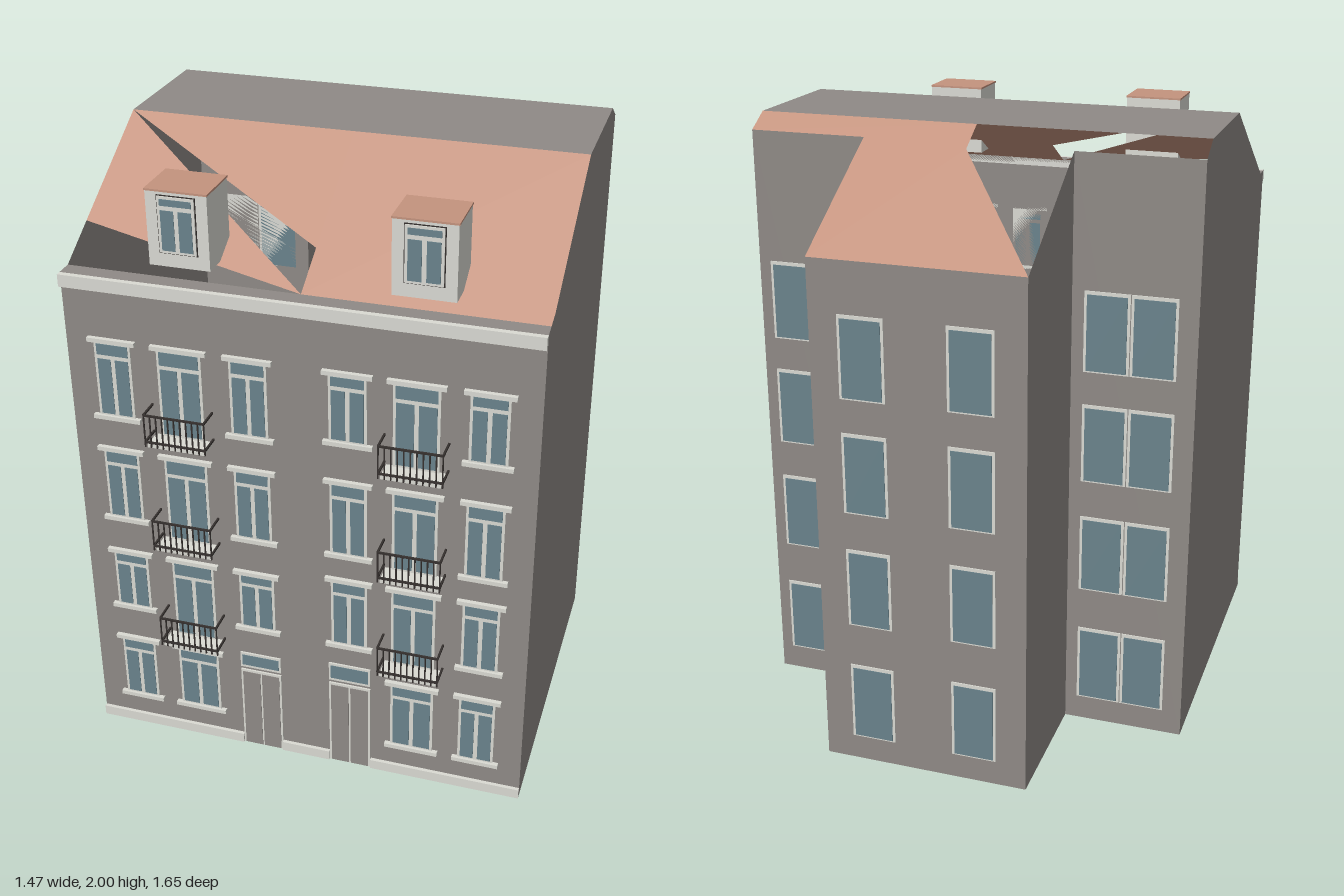
import * as THREE from 'three';

const mat = (name, color, side = THREE.FrontSide) => {
  const m = new THREE.MeshStandardMaterial({ color, side });
  m.name = name;
  return m;
};

export function createModel() {
  const root = new THREE.Group();
  root.name = 'townhouses';
  const wall = mat('wallGrey', 0x8f8a86, THREE.DoubleSide);
  const tile = mat('roofTerracotta', 0xc4937e, THREE.DoubleSide);
  const trim = mat('trimPale', 0xdadad3);
  const glass = mat('glassTeal', 0x6a838c);
  const iron = mat('railingDark', 0x35302e);

  const group = (name, parent = root) => {
    const g = new THREE.Group();
    g.name = name;
    parent.add(g);
    return g;
  };
  // Box given by its limits on each axis
  const box = (parent, name, m, x0, x1, y0, y1, z0, z1) => {
    const mesh = new THREE.Mesh(new THREE.BoxGeometry(x1 - x0, y1 - y0, z1 - z0), m);
    mesh.position.set((x0 + x1) / 2, (y0 + y1) / 2, (z0 + z1) / 2);
    mesh.name = name;
    parent.add(mesh);
  };
  // Flat polygon, fanned from its first corner
  const poly = (parent, name, m, pts) => {
    const v = [];
    for (let i = 1; i < pts.length - 1; i++) v.push(...pts[0], ...pts[i], ...pts[i + 1]);
    const g = new THREE.BufferGeometry();
    g.setAttribute('position', new THREE.Float32BufferAttribute(v, 3));
    g.computeVertexNormals();
    const mesh = new THREE.Mesh(g, m);
    mesh.name = name;
    parent.add(mesh);
  };

  // Main dimensions
  const XL = -0.735, XR = 0.73, WL = -0.335, WR = 0.345;
  const ZF = 0.745, ZB = -0.365, ZW = -0.82, EAVE = 1.69, TOP = 2;
  const Z1 = 0.69, Z2 = 0.157, Z3 = -0.285;
  const yFront = z => EAVE + (Z1 - z) / (Z1 - Z2) * (TOP - EAVE);
  const yBack = z => TOP - (Z3 - z) / (Z3 - ZW) * (TOP - EAVE);
  const f = (x, z) => [x, yFront(z), z];
  const b = (x, z) => [x, yBack(z), z];

  // Walls and floor
  const walls = group('walls');
  const upright = (name, x0, x1, z, h) =>
    poly(walls, name, wall, [[x0, 0, z], [x1, 0, z], [x1, h, z], [x0, h, z]]);
  upright('frontWall', XL, XR, ZF, EAVE);
  upright('backWallRight', XL, WL, ZB, yBack(ZB)) ;
  upright('backWallLeft', WR, XR, ZB, yBack(ZB));
  upright('wingBackWall', WR, WL, ZW, EAVE);
  const side = [[ZB, 0], [ZF, 0], [ZF, EAVE], [Z1, EAVE], [Z2, TOP], [Z3, TOP], [ZB, yBack(ZB)]];
  const wing = [[ZW, 0], [ZB, 0], [ZB, yBack(ZB)], [ZW, EAVE]];
  for (const [x, pts, name] of [[XL, side, 'sideWall'], [XR, side, 'sideWall'], [WL, wing, 'wingSideWall'], [WR, wing, 'wingSideWall']]) {
    const p = pts.map(([z, y]) => [x, y, z]);
    poly(walls, name, wall, x > 0 ? p.reverse() : p);
  }
  const floor = (name, x0, x1, z0, z1) =>
    poly(walls, name, wall, [[x0, 0, z0], [x1, 0, z0], [x1, 0, z1], [x0, 0, z1]]);
  floor('floor', XL, XR, ZB, ZF);
  floor('wingFloor', WL, WR, ZW, ZB);

  // Roof: one half closed, the other with open gaps
  const roof = group('roof');
  const level = (name, x0, x1, y, z0, z1) =>
    poly(roof, name, wall, [[x0, y, z1], [x1, y, z1], [x1, y, z0], [x0, y, z0]]);
  level('eaveLedge', XL, XR, EAVE, Z1, ZF);
  level('flatRoof', XL, 0, TOP, Z3, Z2);
  level('flatRoof', 0, XR, TOP, Z3, Z2);
  poly(roof, 'frontSlope', tile, [f(0, Z1), f(XR, Z1), f(XR, Z2), f(0, Z2)]);
  poly(roof, 'upperFrontPiece', tile, [f(XL, Z2), f(0, 0.545), f(0, Z2)]);
  poly(roof, 'lowerFrontPiece', tile, [f(XL, Z2), f(XL, 0.545), f(0, Z1)]);
  poly(roof, 'backSlope', tile, [b(0, Z3), b(XR, Z3), b(XR, ZB), b(0, ZB)]);
  poly(roof, 'wingSlope', tile, [b(0, -0.385), b(0, ZB), b(WR, ZB), b(WR, ZW), b(WL, ZW)]);

  // Cornice and plinth
  box(root, 'cornice', trim, XL, XR, 1.65, EAVE, ZF, 0.763);
  for (const [a, c] of [[XL, -0.22], [-0.08, 0.085], [0.227, XR]])
    box(root, 'plinth', trim, a, c, 0, 0.035, ZF, 0.757);

  // Front window: pale frame, top light and two casements
  const frontWindow = (parent, x, y0, y1, w, z = ZF) => {
    const h = w / 2, split = y1 - (y1 - y0) * 0.2, e = 0.008;
    box(parent, 'windowFrame', trim, x - h, x + h, y0, y1, z, z + 0.006);
    box(parent, 'topPane', glass, x - h + e, x + h - e, split + 0.007, y1 - e, z, z + 0.008);
    for (const s of [-1, 1]) {
      const c = x + s * (h / 2 - 0.001);
      box(parent, 'casementPane', glass, c - h / 2 + e, c + h / 2 - e, y0 + e, split - 0.007, z, z + 0.008);
    }
  };
  const band = (parent, name, x, w, y0, y1) =>
    box(parent, name, trim, x - w / 2, x + w / 2, y0, y1, ZF, 0.76);

  // Balcony: slab, rails and bars
  const balcony = (x, y) => {
    const g = group('balcony'), h = 0.097, z1 = 0.817, t = 0.003;
    box(g, 'balconySlab', trim, x - h + 0.005, x + h - 0.005, y, y + 0.012, ZF, z1 - 0.006);
    for (const ry of [y + 0.022, y + 0.115]) {
      box(g, 'frontRail', iron, x - h, x + h, ry - t, ry + t, z1 - t, z1 + t);
      for (const s of [-1, 1])
        box(g, 'sideRail', iron, x + s * h - t, x + s * h + t, ry - t, ry + t, ZF, z1);
    }
    for (let i = 0; i <= 10; i++) {
      const bx = x - h + i * h / 5;
      box(g, 'railBar', iron, bx - 0.002, bx + 0.002, y + 0.005, y + 0.115, z1 - 0.002, z1 + 0.002);
    }
  };

  // Each house: column centres, storeys as [sill, top, balcony base], door [x, top, transom top]
  const houses = [
    { outer: -0.585, mid: -0.37, inner: -0.152, door: [-0.15, 0.315, 0.385],
      rows: [[0.11, 0.367], [0.485, 0.72, 0.405], [0.835, 1.108, 0.785], [1.21, 1.49, 1.168]] },
    { outer: 0.58, mid: 0.365, inner: 0.156, door: [0.156, 0.33, 0.41],
      rows: [[0.11, 0.383], [0.485, 0.755, 0.448], [0.835, 1.118, 0.812], [1.24, 1.49, 1.185]] },
  ];
  for (const { outer, mid, inner, door, rows } of houses) {
    for (const [y0, y1, base] of rows) {
      for (const x of base ? [outer, mid, inner] : [outer, mid]) {
        const g = group('frontWindow'), tall = base && x === mid;
        const w = x === mid ? 0.142 : 0.118;
        frontWindow(g, x, tall ? base + 0.012 : y0 + 0.012, y1 - 0.012, w);
        band(g, 'lintel', x, w + 0.036, y1 - 0.014, y1);
        if (!tall) band(g, 'sill', x, w + 0.036, y0, y0 + 0.014);
      }
      if (base) balcony(mid, base);
    }
    // Front door with transom light
    const g = group('frontDoor'), [x, top, high] = door;
    box(g, 'doorFrame', trim, x - 0.07, x + 0.07, 0, top, ZF, ZF + 0.006);
    for (const s of [-1, 1])
      box(g, 'doorLeaf', wall, x + s * 0.033 - 0.03, x + s * 0.033 + 0.03, 0.002, top - 0.008, ZF, ZF + 0.008);
    box(g, 'transomFrame', trim, x - 0.07, x + 0.07, top + 0.012, high, ZF, ZF + 0.006);
    box(g, 'transomPane', glass, x - 0.063, x + 0.063, top + 0.022, high - 0.008, ZF, ZF + 0.008);

    // Dormer
    const d = group('dormer'), dx = mid < 0 ? -0.367 : 0.367;
    box(d, 'dormerBody', trim, dx - 0.095, dx + 0.095, 1.73, 1.962, 0.54, 0.7);
    box(d, 'dormerRoof', tile, dx - 0.097, dx + 0.097, 1.962, 1.968, 0.538, 0.702);
    box(d, 'dormerSurround', iron, dx - 0.06, dx + 0.06, 1.772, 1.953, 0.7, 0.702);
    frontWindow(d, dx, 1.775, 1.95, 0.114, 0.7);
  }

  // Back windows
  const backWindow = (x0, x1, y0, z) => {
    const g = group('backWindow');
    box(g, 'backFrame', trim, x0, x1, y0, y0 + 0.265, z - 0.004, z);
    box(g, 'backPane', glass, x0 + 0.009, x1 - 0.009, y0 + 0.005, y0 + 0.254, z - 0.006, z);
  };
  for (const y of [0.085, 0.495, 0.885, 1.26]) {
    for (const [a, c] of [[-0.237, -0.09], [0.105, 0.252]]) backWindow(a, c, y, ZW);
    for (const [a, c] of [[-0.672, -0.525], [-0.522, -0.375], [0.39, 0.537], [0.543, 0.69]])
      backWindow(a, c, y, ZB);
  }
  return root;
}
